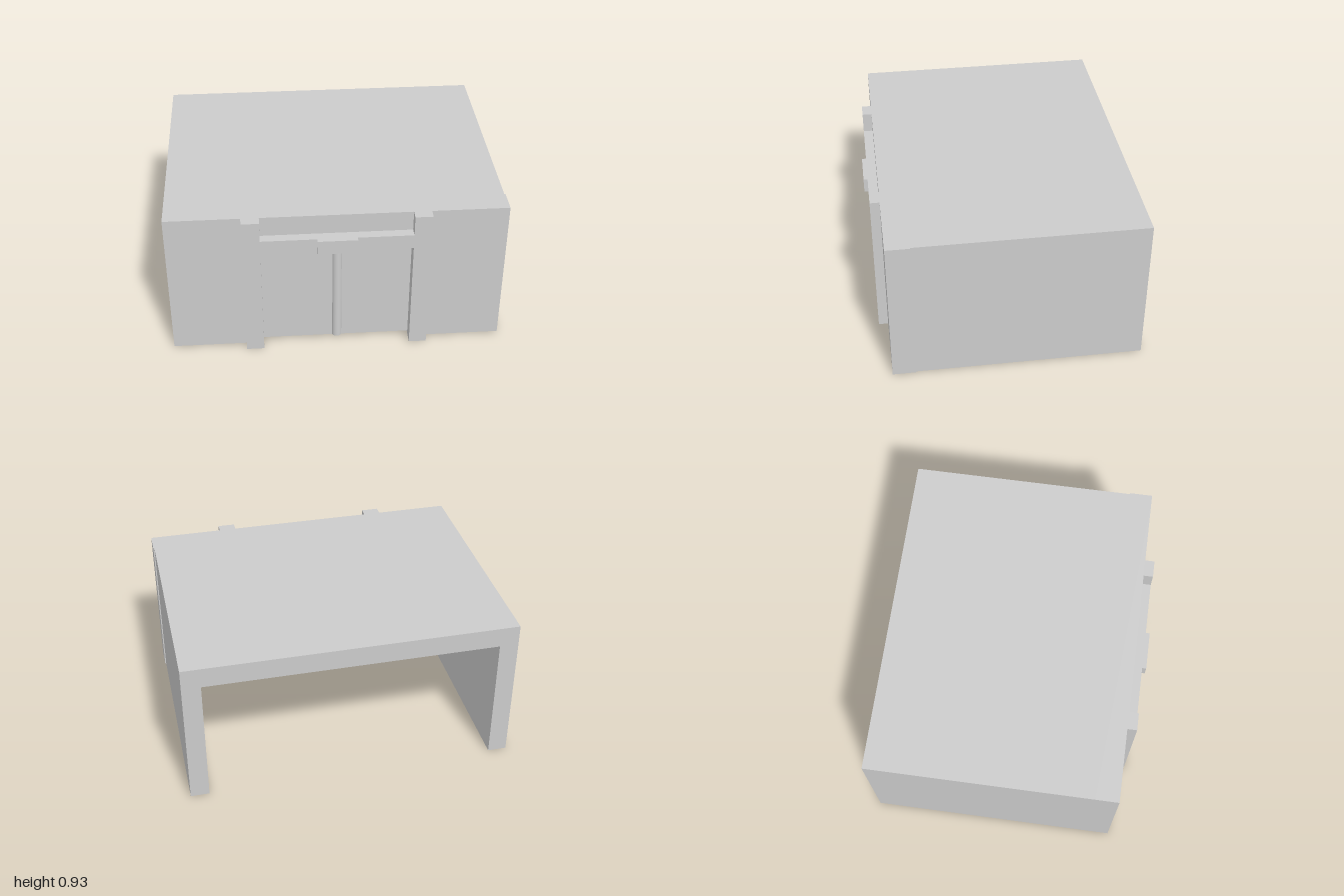
import * as THREE from 'three';

export function createModel() {
  const model = new THREE.Group();
  const material = new THREE.MeshStandardMaterial({ color: 0xcccccc, flatShading: true });

  // Box given by its lower and upper corners
  function box(name, [x0, y0, z0], [x1, y1, z1]) {
    const mesh = new THREE.Mesh(new THREE.BoxGeometry(x1 - x0, y1 - y0, z1 - z0), material);
    mesh.position.set((x0 + x1) / 2, (y0 + y1) / 2, (z0 + z1) / 2);
    mesh.name = name;
    model.add(mesh);
  }

  const H = 0.93, back = -0.795, wallBack = 0.57, wallFront = 0.712, frameFront = 0.77;
  const doorLeft = 0.44, doorRight = -0.45, doorTop = 0.715, ceiling = 0.805;

  // Shell profile: roof and two side walls, open at the back and below
  const arch = new THREE.Shape([
    [-1, 0], [-0.885, 0], [-0.885, ceiling], [0.88, ceiling],
    [0.88, 0], [0.993, 0], [0.993, H], [-1, H],
  ].map(([x, y]) => new THREE.Vector2(x, y)));
  const shell = new THREE.Mesh(
    new THREE.ExtrudeGeometry(arch, { depth: wallBack - back, bevelEnabled: false }), material);
  shell.position.z = back;
  shell.name = 'roofAndSideWalls';
  model.add(shell);

  // Front wall with the doorway cut out
  const front = new THREE.Shape([
    [-1, 0], [doorRight, 0], [doorRight, doorTop], [doorLeft, doorTop],
    [doorLeft, 0], [1, 0], [1, H], [-1, H],
  ].map(([x, y]) => new THREE.Vector2(x, y)));
  const frontWall = new THREE.Mesh(
    new THREE.ExtrudeGeometry(front, { depth: wallFront - wallBack, bevelEnabled: false }), material);
  frontWall.position.z = wallBack;
  frontWall.name = 'frontWall';
  model.add(frontWall);

  // Raised door frame: pillars, lintel and the block at its middle
  box('rightPillar', [-0.555, 0, wallFront], [doorRight, H, frameFront]);
  box('leftPillar', [doorLeft, 0, wallFront], [0.545, H, frameFront]);
  box('lintel', [doorRight, doorTop, wallFront], [doorLeft, ceiling, frameFront]);
  box('lintelBlock', [-0.12, doorTop, frameFront], [0.113, ceiling, 0.795]);

  // Door leaves set back in the opening, meeting at a round post
  box('rightDoor', [doorRight, 0.02, 0.67], [0, doorTop, 0.69]);
  box('leftDoor', [0, 0.02, 0.67], [doorLeft, doorTop, 0.69]);
  const post = new THREE.Mesh(
    new THREE.CylinderGeometry(0.03, 0.03, doorTop - 0.02, 24),
    new THREE.MeshStandardMaterial({ color: 0xcccccc }));
  post.position.set(0, (doorTop + 0.02) / 2, 0.68);
  post.name = 'doorPost';
  model.add(post);

  return model;
}
